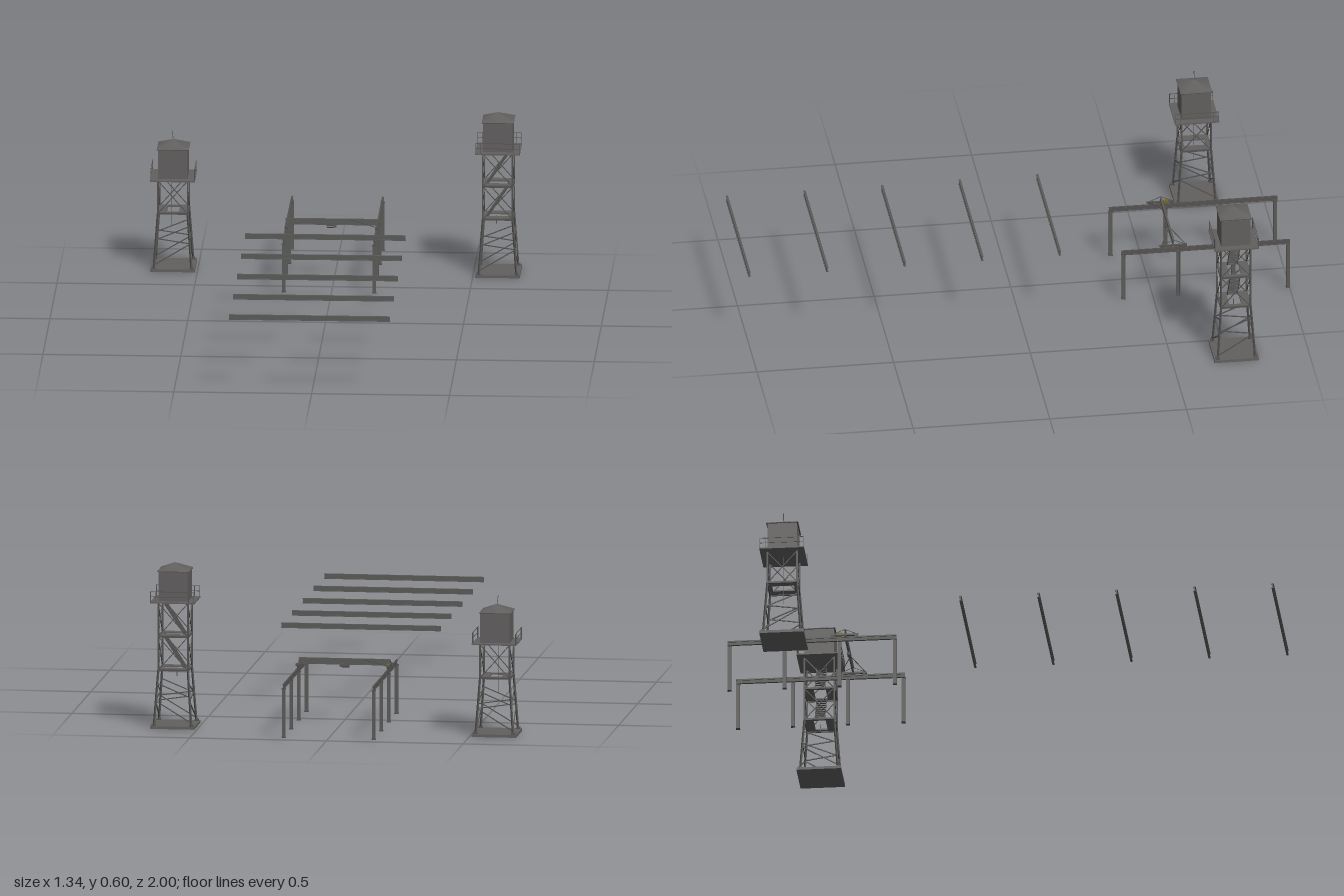
import * as THREE from 'three';

const mat = (name, color) => {
  const m = new THREE.MeshStandardMaterial({ color });
  m.name = name;
  return m;
};

export function createModel() {
  const steel = mat('dark steel', 0x545352);
  const girderSteel = mat('girder steel', 0x5b5a58);
  const panel = mat('cabin panel', 0x62605f);
  const olive = mat('olive paint', 0x726c24);

  const V = (x, y, z) => new THREE.Vector3(x, y, z);
  const group = (name, parent) => {
    const g = new THREE.Group();
    g.name = name;
    parent.add(g);
    return g;
  };
  const add = (parent, name, geo, material, x = 0, y = 0, z = 0) => {
    const m = new THREE.Mesh(geo, material);
    m.name = name;
    m.position.set(x, y, z);
    parent.add(m);
    return m;
  };
  const box = (parent, name, w, h, d, material, x, y, z) =>
    add(parent, name, new THREE.BoxGeometry(w, h, d), material, x, y, z);

  // Square bar between two points, in the parent's own frame
  const UP = V(0, 1, 0);
  const strut = (parent, name, a, b, t, wide = t) => {
    const m = box(parent, name, wide, t, a.distanceTo(b), steel);
    m.position.copy(a).add(b).multiplyScalar(0.5);
    m.quaternion.setFromRotationMatrix(new THREE.Matrix4().lookAt(b, a, UP));
  };

  // I-section extruded along z, centred on its middle
  const iBeam = (len, h, w, flange = 0.003, web = 0.003) => {
    const a = w / 2, b = h / 2, c = web / 2, f = b - flange;
    const pts = [[-a, -b], [a, -b], [a, -f], [c, -f], [c, f], [a, f],
      [a, b], [-a, b], [-a, f], [-c, f], [-c, -f], [-a, -f]];
    const shape = new THREE.Shape(pts.map(p => new THREE.Vector2(...p)));
    return new THREE.ExtrudeGeometry(shape, { depth: len, bevelEnabled: false })
      .translate(0, 0, -len / 2);
  };

  const model = new THREE.Group();
  model.name = 'towersAndCrane';

  // Five free overhead beams
  const beams = group('overheadBeams', model);
  const beamGeo = iBeam(0.583, 0.019, 0.008).rotateY(Math.PI / 2);
  for (let i = 0; i < 5; i++) {
    add(beams, 'overheadBeam', beamGeo, girderSteel, -0.008, 0.2825, 0.996 - i * 0.284);
  }

  // Crane runways on columns
  const crane = group('gantryCrane', model);
  const columnGeo = iBeam(0.177, 0.013, 0.012).rotateX(Math.PI / 2);
  const runwayGeo = iBeam(0.616, 0.015, 0.008);
  for (const x of [-0.172, 0.157]) {
    add(crane, 'runwayBeam', runwayGeo, steel, x, 0.1955, -0.692);
    box(crane, 'runwayRail', 0.004, 0.003, 0.616, steel, x, 0.2045, -0.692);
    for (const z of [-0.992, -0.792, -0.592, -0.39]) {
      add(crane, 'column', columnGeo, girderSteel, x, 0.0975, z);
      box(crane, 'columnCap', 0.015, 0.003, 0.015, steel, x, 0.1865, z);
      box(crane, 'columnFoot', 0.015, 0.003, 0.015, steel, x, 0.009, z);
    }
  }

  // Travelling bridge with end trucks, braces and trolley
  const bridge = group('craneBridge', crane);
  bridge.position.set(-0.0075, 0, -0.573);
  add(bridge, 'bridgeGirder', iBeam(0.334, 0.023, 0.007).rotateY(Math.PI / 2), girderSteel, 0, 0.2245, 0);
  const wheelGeo = new THREE.CylinderGeometry(0.005, 0.005, 0.006, 12).rotateZ(Math.PI / 2);
  for (const s of [-1, 1]) {
    const x = s * 0.1645;
    box(bridge, 'endTruck', 0.007, 0.007, 0.1, steel, x, 0.213, 0);
    for (const e of [-1, 1]) {
      add(bridge, 'truckWheel', wheelGeo, steel, x, 0.21, e * 0.04);
      strut(bridge, 'bridgeBrace', V(x, 0.216, e * 0.044), V(s * 0.065, 0.234, 0), 0.0022);
      strut(bridge, 'truckBrace', V(x, 0.216, e * 0.044), V(x, 0.235, 0), 0.002);
    }
  }
  box(bridge, 'driveMotor', 0.012, 0.009, 0.012, steel, 0.168, 0.213, -0.028);
  box(bridge, 'controlBox', 0.01, 0.01, 0.018, olive, -0.163, 0.216, -0.018);
  const trolley = group('trolley', bridge);
  box(trolley, 'trolleyBody', 0.036, 0.005, 0.011, steel, 0, 0.21, 0);
  add(trolley, 'hoistDrum', new THREE.CylinderGeometry(0.0045, 0.0045, 0.026, 12).rotateZ(Math.PI / 2),
    steel, -0.004, 0.206, 0.003);
  box(trolley, 'hoistMotor', 0.008, 0.007, 0.009, steel, 0.014, 0.208, 0.004);

  // Floor plate with a stairwell opening
  const floorGeo = (half) => {
    const rect = (P, x0, y0, x1, y1) => new P([[x0, y0], [x1, y0], [x1, y1], [x0, y1]]
      .map(p => new THREE.Vector2(...p)));
    const shape = rect(THREE.Shape, -half, -half, half, half);
    shape.holes.push(rect(THREE.Path, -0.04, -0.022, 0.04, 0.022));
    return new THREE.ExtrudeGeometry(shape, { depth: 0.005, bevelEnabled: false })
      .rotateX(-Math.PI / 2);
  };

  // Watchtower: tapered foot, a number of straight storeys, cabin on top
  const tower = (name, x, z, storeys, turn, tall) => {
    const t = group(name, model);
    t.position.set(x, 0, z);
    const body = group('towerBody', t);
    body.rotation.y = turn;
    const y0 = 0.212, step = 0.123, foot = 0.069, top = 0.054;
    const deck = y0 + storeys * step;
    box(body, 'basePlate', 0.162, 0.01, 0.162, panel, 0, 0.005, 0);
    const halfAt = y => foot + (top - foot) * Math.min(1, y / y0);

    // Four sides, opposite ones braced in parallel
    for (let i = 0; i < 4; i++) {
      const side = group('towerSide', body);
      side.rotation.y = i * Math.PI / 2;
      const f = i < 2 ? 1 : -1;
      const P = (s, y) => V(s * f * halfAt(y), y, halfAt(y));
      strut(side, 'leg', P(-f, 0.01), P(-f, y0), 0.006);
      strut(side, 'upperLeg', P(-f, y0), P(-f, deck), 0.006);
      box(side, 'legFoot', 0.014, 0.008, 0.014, steel, -foot, 0.012, foot);
      strut(side, 'lowerBrace', P(-1, 0.022), P(1, 0.1), 0.0035);
      strut(side, 'middleBrace', P(-1, 0.12), P(1, 0.102), 0.0035);
      strut(side, 'upperBrace', P(-1, 0.115), P(1, 0.164), 0.0035);
      for (let k = 0; k < storeys; k++) {
        const a = y0 + k * step, b = a + step;
        strut(side, 'crossBrace', P(-1, a), P(1, b), 0.003);
        strut(side, 'crossBrace', P(1, a), P(-1, b), 0.003);
        strut(side, 'storeyBeam', P(-1, a), P(1, a), 0.006);
      }
    }

    // Floors, with stair flights in the tall tower
    for (let k = 0; k < storeys; k++) {
      const a = y0 + k * step;
      add(body, 'storeyFloor', floorGeo(0.055), panel, 0, a, 0);
      if (!tall) continue;
      const stairs = group('stairs', body);
      for (const s of [-1, 1]) {
        strut(stairs, 'stairStringer', V(-0.038, a + 0.004, s * 0.018), V(0.04, a + step, s * 0.018), 0.007, 0.002);
      }
      for (let i = 1; i < 10; i++) {
        box(stairs, 'stairTread', 0.009, 0.002, 0.036, steel,
          -0.038 + 0.0078 * i, a + 0.004 + 0.0119 * i, 0);
      }
    }

    // Hanging pole, and the thin mast of the short tower
    if (tall) {
      strut(body, 'hangingPole', V(-0.007, y0 - 0.028, 0), V(-0.007, y0, 0), 0.004);
    } else {
      strut(t, 'hangingPole', V(-0.007, 0.15, 0), V(-0.007, deck, 0), 0.002);
      strut(t, 'antennaRod', V(0, deck + 0.135, 0), V(-0.005, deck + 0.175, 0), 0.002);
    }

    // Deck and railings on two opposite sides
    box(body, 'deck', 0.162, 0.005, 0.162, panel, 0, deck + 0.0045, 0);
    for (const s of [-1, 1]) {
      const rail = group('railing', body);
      for (const px of [-0.079, -0.06, 0.06, 0.079]) {
        strut(rail, 'railPost', V(px, deck + 0.005, s * 0.079), V(px, deck + 0.046, s * 0.079), 0.002);
      }
      for (const h of [0.026, 0.045]) {
        strut(rail, 'handRail', V(-0.08, deck + h, s * 0.079), V(0.08, deck + h, s * 0.079), 0.002);
      }
    }

    // Cabin with pyramid roof
    box(body, 'cabin', 0.107, 0.11, 0.107, panel, 0, deck + 0.061, 0);
    add(body, 'roof', new THREE.ConeGeometry(0.058 * Math.SQRT2, 0.026, 4).rotateY(Math.PI / 4),
      panel, 0, deck + 0.13, 0);
    box(body, 'roofEave', 0.116, 0.003, 0.116, steel, 0, deck + 0.1155, 0);
  };

  tower('shortTower', -0.59, -0.756, 1, -Math.PI / 2, false);
  tower('tallTower', 0.59, -0.732, 2, 0, true);

  return model;
}
